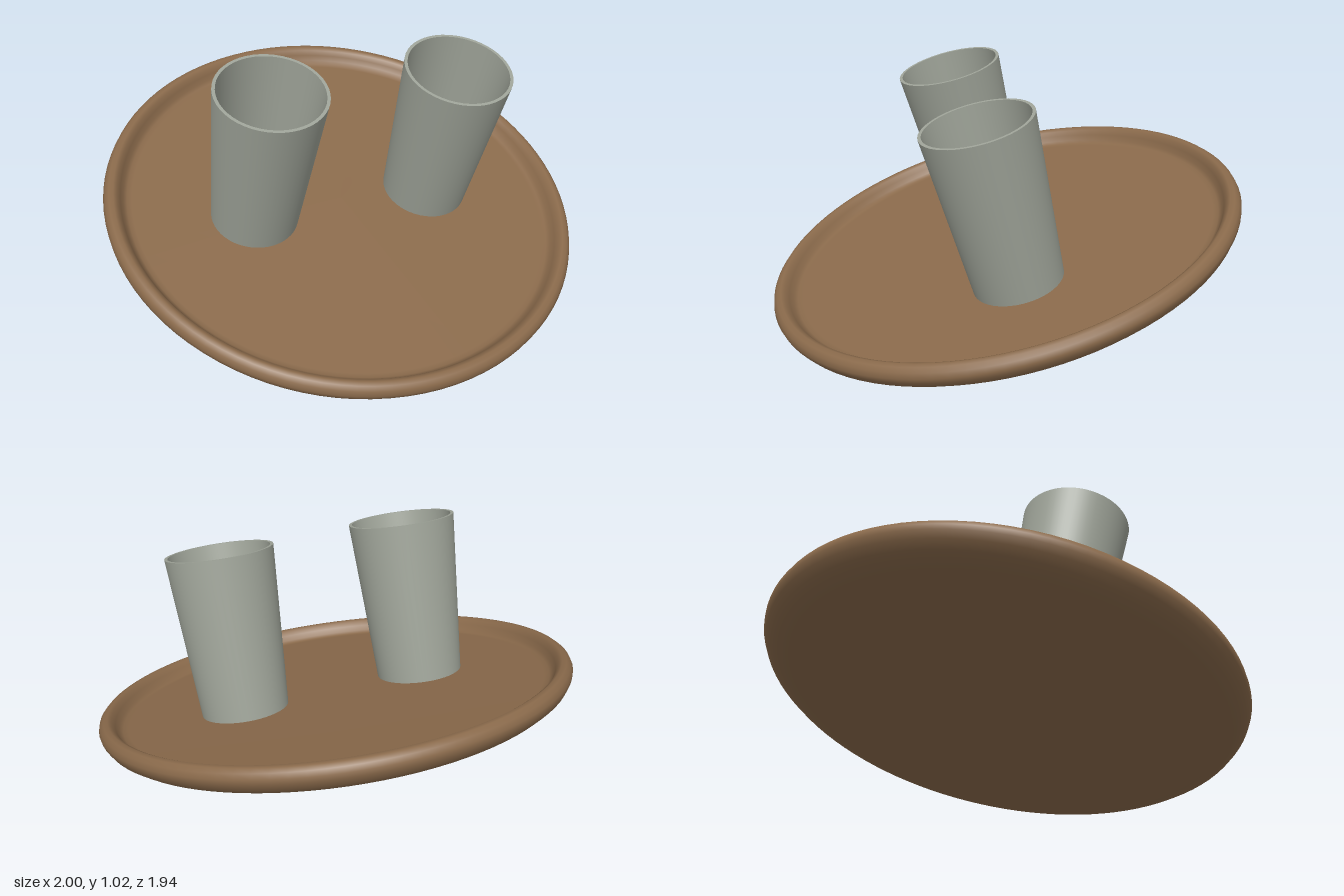
import * as THREE from 'three';
import { toCreasedNormals } from 'three/addons/utils/BufferGeometryUtils.js';

const wood = new THREE.MeshStandardMaterial({ color: 0x8a6a4b });
wood.name = 'brown wood';
const grey = new THREE.MeshStandardMaterial({ color: 0x9ea398 });
grey.name = 'grey glaze';

function lathe(points, segments) {
  return new THREE.LatheGeometry(points.map(([r, y]) => new THREE.Vector2(r, y)), segments);
}

// Round tray with a rolled rim, profile runs from the underside to the floor
function makeTray() {
  const profile = [
    [0, -0.07], [0.86, -0.07], [0.91, -0.067], [0.95, -0.055], [0.98, -0.032],
    [0.996, -0.005], [1, 0.015], [0.993, 0.036], [0.978, 0.05], [0.96, 0.053],
    [0.945, 0.045], [0.932, 0.025], [0.92, 0.003], [0.905, -0.008], [0.885, -0.01], [0, -0.01],
  ];
  const tray = new THREE.Mesh(lathe(profile, 96), wood);
  tray.name = 'tray';
  return tray;
}

// Tapered open cup with a thin wall; the tray shows through at the bottom
function makeCup(name, x, z) {
  const profile = [[0.158, 0], [0.182, 0], [0.222, 0.675], [0.209, 0.675], [0.158, 0]];
  const cup = new THREE.Mesh(toCreasedNormals(lathe(profile, 48), 0.7), grey);
  cup.name = name;
  cup.position.set(x, -0.01, z);
  return cup;
}

export function createModel() {
  const model = new THREE.Group();
  model.name = 'trayWithCups';

  // Tray and cups lean together towards the front
  const tilted = new THREE.Group();
  tilted.name = 'tiltedTray';
  tilted.add(makeTray(), makeCup('leftCup', 0.353, 0.17), makeCup('rightCup', -0.365, -0.148));
  tilted.position.y = 0.302;
  tilted.rotation.set(THREE.MathUtils.degToRad(14.7), 0, THREE.MathUtils.degToRad(2.3));
  model.add(tilted);
  return model;
}
